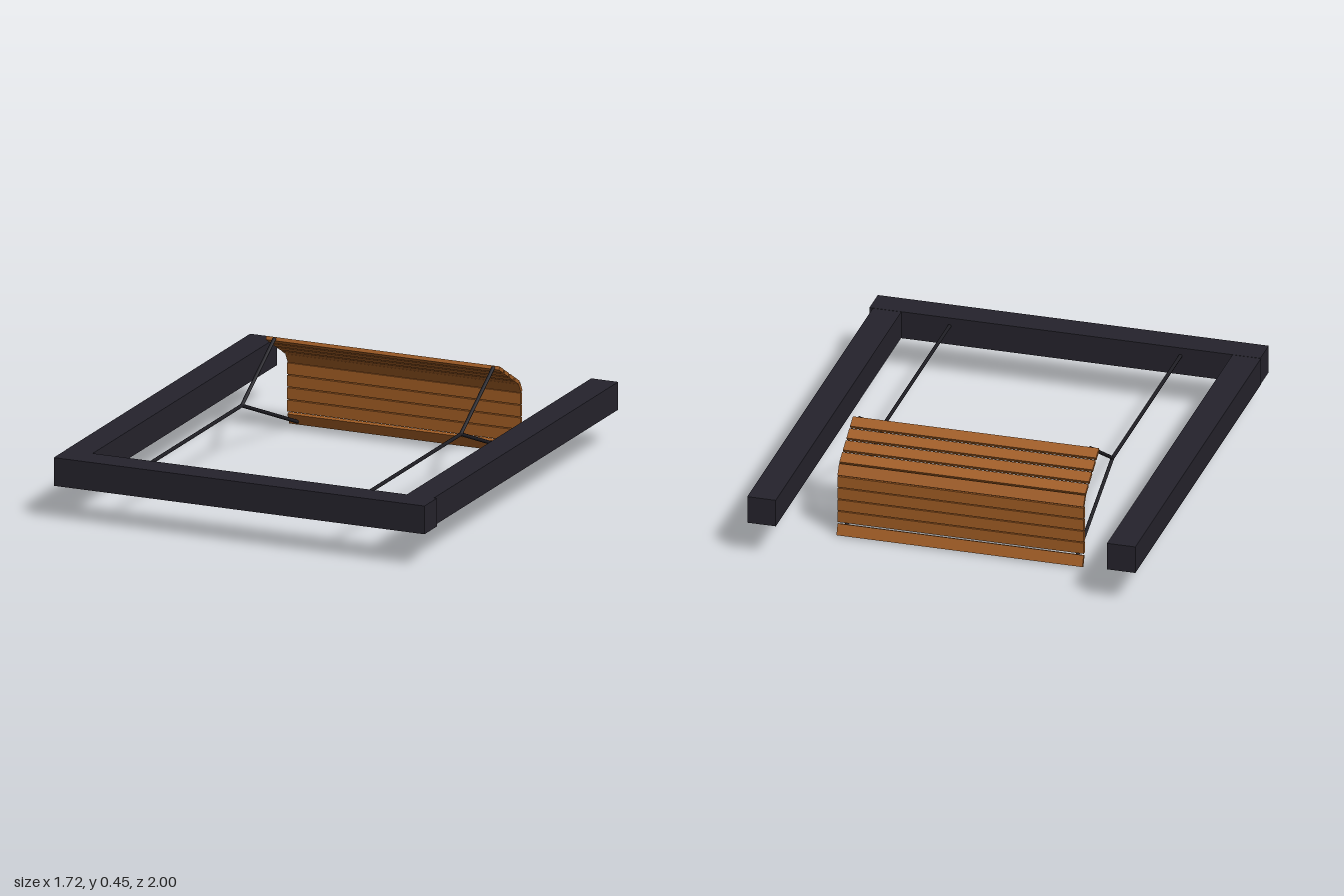
import * as THREE from 'three';

const dark = new THREE.MeshStandardMaterial({ color: 0x25232c });
const wood = new THREE.MeshStandardMaterial({ color: 0xa05c24 });
const ropeMat = new THREE.MeshStandardMaterial({ color: 0x1f1e24 });

export function createModel() {
  const model = new THREE.Group();

  const box = (name, parent, mat, [w, h, d], [x, y, z]) => {
    const mesh = new THREE.Mesh(new THREE.BoxGeometry(w, h, d), mat);
    mesh.name = name;
    mesh.position.set(x, y, z);
    parent.add(mesh);
    return mesh;
  };

  // U-shaped frame: two posts and a crossbeam
  const frame = new THREE.Group();
  frame.name = 'frame';
  model.add(frame);
  box('rightPost', frame, dark, [0.125, 0.122, 1.875], [-0.798, 0.216, -0.0625]);
  box('leftPost', frame, dark, [0.125, 0.122, 1.99], [0.781, 0.216, -0.005]);
  box('crossbeam', frame, dark, [1.716, 0.124, 0.125], [0, 0.216, 0.9375]);

  // Bench slats laid along a bent profile of [z, y, angle about x]
  const bench = new THREE.Group();
  bench.name = 'bench';
  model.add(bench);
  const slat = (name, z, y, tilt) => {
    box(name, bench, wood, [1.08, 0.016, 0.05], [-0.006, y, z]).rotation.x = tilt;
  };
  const slope = -Math.atan2(0.12, 0.205);
  for (let i = 0; i < 4; i++) {
    slat('backSlat', -0.493 - i * 0.053, 0.43 - i * 0.031, slope);
  }
  slat('cornerSlat', -0.687, 0.3, -1.06);
  for (let i = 0; i < 4; i++) {
    slat('seatSlat', -0.694, 0.249 - i * 0.0545, Math.PI / 2);
  }
  slat('frontSlat', -0.705, 0.028, -1.2);

  // Ropes: one from the crossbeam to a knot, two from the knot to the bench
  const rope = (name, parent, a, b) => {
    const dir = b.clone().sub(a);
    const mesh = new THREE.Mesh(new THREE.CylinderGeometry(0.008, 0.008, dir.length(), 8), ropeMat);
    mesh.name = name;
    mesh.position.copy(a).add(b).multiplyScalar(0.5);
    mesh.quaternion.setFromUnitVectors(new THREE.Vector3(0, 1, 0), dir.normalize());
    parent.add(mesh);
  };
  for (const side of [-1, 1]) {
    const ropes = new THREE.Group();
    ropes.name = side > 0 ? 'leftRopes' : 'rightRopes';
    const at = (y, z) => new THREE.Vector3(side * 0.507, y, z);
    const knot = at(0.24, -0.139);
    rope('mainRope', ropes, at(0.24, 0.9), knot);
    rope('backRope', ropes, knot, at(0.443, -0.47));
    rope('seatRope', ropes, knot, at(0.012, -0.712));
    model.add(ropes);
  }
  return model;
}
